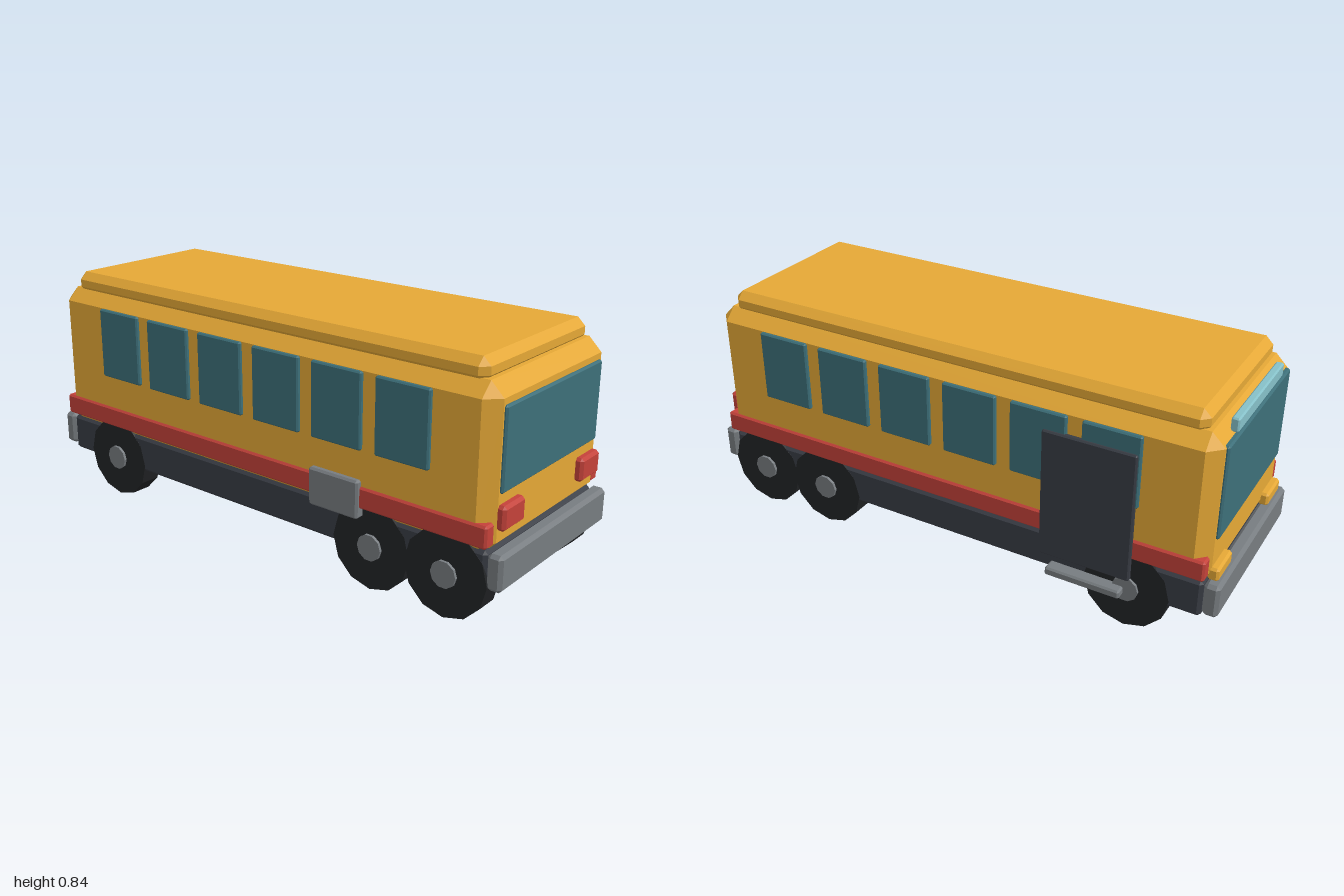
import * as THREE from 'three';
import { ConvexGeometry } from 'three/addons/geometries/ConvexGeometry.js';

const paint = (color) => new THREE.MeshStandardMaterial({ color, flatShading: true });
const MAT = {
  yellow: paint(0xe5a836), red: paint(0xc4423a), glass: paint(0x3d6f79),
  dark: paint(0x383c44), tyre: paint(0x222426), grey: paint(0x777c80), pale: paint(0x86c0c8),
};
const CX = -0.0075; // centre line of the vehicle

// Box with all edges chamfered by c, given by its [min, max] range on each axis
function chamferBox(group, name, mat, xr, yr, zr, c) {
  const ranges = [xr, yr, zr];
  const half = ranges.map(([a, b]) => (b - a) / 2);
  const mid = ranges.map(([a, b]) => (a + b) / 2);
  const points = [];
  for (const sx of [-1, 1]) for (const sy of [-1, 1]) for (const sz of [-1, 1]) {
    const s = [sx, sy, sz];
    for (let axis = 0; axis < 3; axis++) {
      points.push(new THREE.Vector3(...s.map((k, i) => k * (half[i] - (i === axis ? 0 : c)))));
    }
  }
  const mesh = new THREE.Mesh(new ConvexGeometry(points), mat);
  mesh.position.set(...mid);
  mesh.name = name;
  group.add(mesh);
  return mesh;
}

// Range on x measured outward from the centre line, on the given side
const sideRange = (side, inner, outer) =>
  side > 0 ? [CX + inner, CX + outer] : [CX - outer, CX - inner];

// Low-poly disc with its axis along x
function disc(group, name, mat, radius, xr, y, z, sides) {
  const geo = new THREE.CylinderGeometry(radius, radius, xr[1] - xr[0], sides);
  geo.rotateZ(Math.PI / 2);
  const mesh = new THREE.Mesh(geo, mat);
  mesh.position.set((xr[0] + xr[1]) / 2, y, z);
  mesh.name = name;
  group.add(mesh);
}

export function createModel() {
  const bus = new THREE.Group();
  bus.name = 'bus';
  const box = (...args) => chamferBox(bus, ...args);

  // Shell
  box('chassis', MAT.dark, [-0.343, 0.328], [0.127, 0.265], [-0.945, 0.945], 0.012);
  box('body', MAT.yellow, [-0.355, 0.34], [0.24, 0.782], [-0.956, 0.956], 0.046);
  box('roof', MAT.yellow, [-0.321, 0.306], [0.762, 0.843], [-0.9, 0.9], 0.027);

  // Bumpers
  box('frontBumper', MAT.grey, [-0.345, 0.33], [0.143, 0.265], [0.947, 1], 0.012);
  box('rearBumper', MAT.grey, [-0.345, 0.33], [0.143, 0.265], [-1, -0.947], 0.012);

  // Windscreens and the sign over the rear one
  box('frontWindow', MAT.glass, [-0.304, 0.288], [0.442, 0.715], [0.943, 0.966], 0.006);
  box('rearWindow', MAT.glass, [-0.304, 0.288], [0.41, 0.742], [-0.966, -0.943], 0.006);
  box('signBox', MAT.pale, [-0.225, 0.207], [0.747, 0.795], [-0.962, -0.935], 0.005);

  for (const side of [-1, 1]) {
    const tag = side > 0 ? 'left' : 'right';

    // Side stripe and end lamps
    box(tag + 'Stripe', MAT.red, sideRange(side, 0.308, 0.355), [0.28, 0.355], [-0.95, 0.953], 0.007);
    box(tag + 'FrontLamp', MAT.red, sideRange(side, 0.181, 0.303), [0.326, 0.408], [0.947, 0.982], 0.01);
    box(tag + 'RearLamp', MAT.yellow, sideRange(side, 0.18, 0.308), [0.262, 0.31], [-0.982, -0.945], 0.008);

    // Row of six windows
    for (let i = 0; i < 6; i++) {
      const z = 0.646 - i * 0.253;
      box(tag + 'Window' + (i + 1), MAT.glass, sideRange(side, 0.34, 0.361), [0.478, 0.735], [z - 0.1, z + 0.1], 0.005);
    }

    // Wheels with hubs
    for (const z of [0.804, 0.522, -0.69]) {
      disc(bus, tag + 'Wheel', MAT.tyre, 0.15, sideRange(side, 0.259, 0.336), 0.15, z, 12);
      disc(bus, tag + 'Hub', MAT.grey, 0.046, sideRange(side, 0.325, 0.346), 0.15, z, 10);
    }
  }

  // Door with its inner pane and step
  box('doorPane', MAT.glass, [0.33, 0.35], [0.22, 0.65], [-0.69, -0.41], 0.005);
  box('door', MAT.dark, [0.341, 0.363], [0.202, 0.672], [-0.711, -0.386], 0.005);
  box('doorStep', MAT.grey, [0.32, 0.373], [0.127, 0.158], [-0.685, -0.415], 0.006);

  // Service hatch on the other side
  box('hatch', MAT.grey, [-0.376, -0.338], [0.245, 0.377], [0.29, 0.49], 0.007);

  return bus;
}
